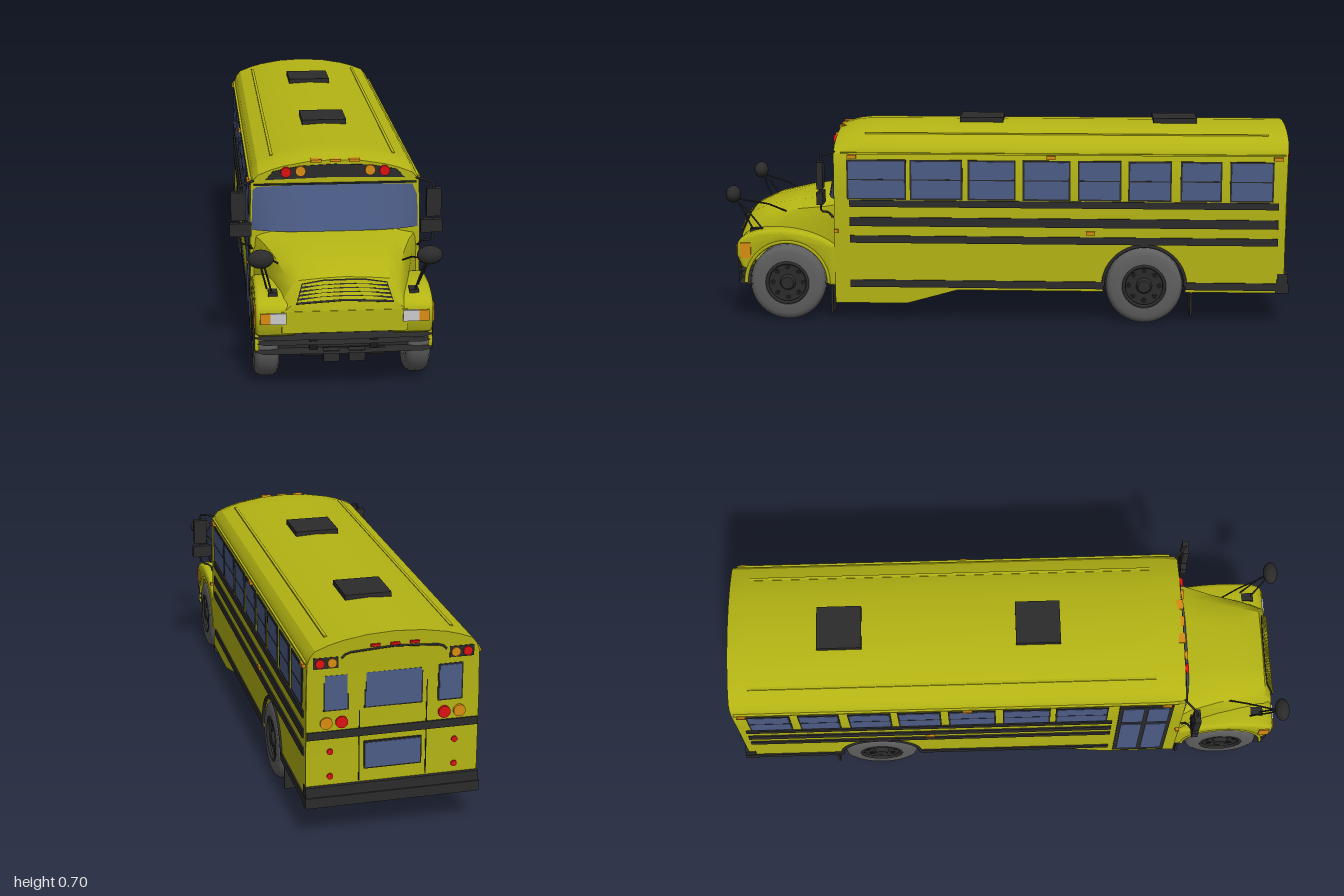
import * as THREE from 'three';
import { toCreasedNormals } from 'three/addons/utils/BufferGeometryUtils.js';
import { ParametricGeometry } from 'three/addons/geometries/ParametricGeometry.js';

const mat = (color, side = THREE.FrontSide) => new THREE.MeshStandardMaterial({ color, side });
const yellow = mat(0xb4b414), black = mat(0x2b2b2b), under = mat(0x191919), rubber = mat(0x5e5e5e);
const glass = mat(0x4c5c86, THREE.DoubleSide), red = mat(0xdd1111), orange = mat(0xd98c12), white = mat(0xcccccc);
const body2 = mat(0xb4b414, THREE.DoubleSide);

function add(parent, name, geo, m, x = 0, y = 0, z = 0) {
  const mesh = new THREE.Mesh(geo, m);
  mesh.name = name;
  mesh.position.set(x, y, z);
  parent.add(mesh);
  return mesh;
}
// Box given by its limits on each axis
const box = (p, name, m, x0, x1, y0, y1, z0, z1) =>
  add(p, name, new THREE.BoxGeometry(Math.abs(x1 - x0), y1 - y0, z1 - z0), m, (x0 + x1) / 2, (y0 + y1) / 2, (z0 + z1) / 2);
// Round lamp facing along z
const lamp = (p, name, m, r, x, y, z) =>
  add(p, name, new THREE.CylinderGeometry(r, r, 0.014, 20).rotateX(Math.PI / 2), m, x, y, z);
const poly = pts => new THREE.Shape(pts.map(([x, y]) => new THREE.Vector2(x, y)));
// Side outline (z, y) extruded across x0..x1
function sideExtrude(shape, x0, x1, bevel = 0) {
  const g = new THREE.ExtrudeGeometry(shape, { depth: x1 - x0 - 2 * bevel, curveSegments: 28,
    bevelEnabled: bevel > 0, bevelSize: bevel, bevelThickness: bevel, bevelOffset: -bevel, bevelSegments: 3 });
  return toCreasedNormals(g.rotateY(-Math.PI / 2).translate(x1 - bevel, 0, 0), 0.6);
}
const mirrorPts = half => [...half, ...half.slice(0, -1).reverse().map(([x, y]) => [-x, y])];
const tube = (p, name, pts, r = 0.004) => add(p, name, new THREE.TubeGeometry(
  new THREE.CatmullRomCurve3(pts.map(q => new THREE.Vector3(...q)), false, 'catmullrom', 0.1), 20, r, 6), black);

// Skin across a row of cross-sections [z, points], closed at the last one
function loft(sections) {
  const pos = [], idx = [], n = sections[0][1].length;
  sections.forEach(([z, pts]) => pts.forEach(([x, y]) => pos.push(x, y, z)));
  for (let s = 0; s < sections.length - 1; s++)
    for (let i = 0; i < n - 1; i++) {
      const a = s * n + i, b = a + n;
      idx.push(a, a + 1, b, a + 1, b + 1, b);
    }
  const last = (sections.length - 1) * n;
  for (let i = 1; i < n - 1; i++) idx.push(last, last + i, last + i + 1);
  const g = new THREE.BufferGeometry();
  g.setAttribute('position', new THREE.Float32BufferAttribute(pos, 3));
  g.setIndex(idx);
  return toCreasedNormals(g, 0.6);
}

function wheel(parent, name, x0, x1, z, s) {
  const g = new THREE.Group();
  g.name = name;
  g.position.set(s * (x0 + x1) / 2, 0.135, z);
  g.rotation.z = -s * Math.PI / 2;
  const w = (x1 - x0) / 2;
  const prof = [[0.078, -w], [0.112, -w], [0.126, -w * 0.85], [0.135, -w * 0.5], [0.135, w * 0.5], [0.126, w * 0.85],
    [0.112, w], [0.078, w], [0.074, w * 0.6], [0.074, -w * 0.6], [0.078, -w]].map(p => new THREE.Vector2(...p));
  add(g, 'tire', toCreasedNormals(new THREE.LatheGeometry(prof, 40), 0.6), rubber);
  add(g, 'rim', new THREE.CylinderGeometry(0.076, 0.076, w, 32), black, 0, w * 0.15);
  add(g, 'rimLip', new THREE.TorusGeometry(0.072, 0.006, 8, 32).rotateX(Math.PI / 2), black, 0, w * 0.9);
  add(g, 'hub', new THREE.CylinderGeometry(0.022, 0.03, w * 0.5, 16), black, 0, w * 0.8);
  for (let i = 0; i < 8; i++) {
    const a = i * Math.PI / 4;
    add(g, 'rimHole', new THREE.CylinderGeometry(0.009, 0.009, 0.004, 10), under, 0.054 * Math.cos(a), w * 0.66, 0.054 * Math.sin(a));
  }
  parent.add(g);
}

export function createModel() {
  const bus = new THREE.Group();
  bus.name = 'bus';

  // Upper body with rounded roof, the roof dipping at the front
  const half = [[0.283, 0.29], [0.283, 0.45], [0.279, 0.6], [0.27, 0.625], [0.254, 0.645], [0.21, 0.662], [0.167, 0.674], [0.09, 0.687], [0, 0.692]];
  const shell = new THREE.ExtrudeGeometry(poly(mirrorPts(half)), { depth: 1.585, steps: 32, bevelEnabled: false }).translate(0, 0, -0.98);
  const sp = shell.attributes.position;
  for (let i = 0; i < sp.count; i++) {
    const y = sp.getY(i), z = sp.getZ(i), t = Math.max(0, (z - 0.5) / 0.1);
    if (y > 0.61) sp.setY(i, y - 0.018 * t * t);
    if (z < -0.97) sp.setZ(i, z - Math.max(0, y - 0.55) * 0.07);
  }
  add(bus, 'upperBody', toCreasedNormals(shell, 0.5), yellow);

  // Lower side panels with rear wheel arches, end panels and floor
  const skirt = new THREE.Shape();
  skirt.moveTo(-0.98, 0.115).lineTo(-0.635, 0.115).lineTo(-0.635, 0.135);
  skirt.absarc(-0.49, 0.135, 0.145, Math.PI, 0, true);
  skirt.lineTo(-0.345, 0.115).lineTo(0.17, 0.115).lineTo(0.35, 0.065).lineTo(0.605, 0.065).lineTo(0.605, 0.295).lineTo(-0.98, 0.295);
  add(bus, 'lowerPanelLeft', sideExtrude(skirt, 0.265, 0.283), yellow);
  add(bus, 'lowerPanelRight', sideExtrude(skirt, -0.283, -0.265), yellow);
  box(bus, 'rearPanel', yellow, -0.283, 0.283, 0.115, 0.295, -0.98, -0.96);
  box(bus, 'firewall', black, -0.265, 0.265, 0.067, 0.295, 0.58, 0.6);
  add(bus, 'floor', sideExtrude(poly([[-0.96, 0.117], [0.17, 0.117], [0.35, 0.067], [0.59, 0.067], [0.59, 0.085], [0.36, 0.085], [0.18, 0.135], [-0.96, 0.135]]), -0.265, 0.265), under);

  // Windshield
  add(bus, 'windshield', new ParametricGeometry((u, v, t) => {
    const s = 2 * u - 1;
    t.set(0.279 * s, 0.438 + v * (0.152 - 0.006 * s * s), 0.604 + (0.004 + 0.034 * (1 - v)) * (1 - s ** 4));
  }, 24, 4), glass);
  box(bus, 'windshieldTrim', black, -0.27, 0.27, 0.59, 0.595, 0.6, 0.613);

  // Hood
  const sec = (z, b, y1, x2, y2, x3, y3, top) => [z, mirrorPts([[b, 0.2], [b, y1], [x2, y2], [x3, y3], [x3 * 0.5, (y3 + 2 * top) / 3], [0, top]])];
  add(bus, 'hood', loft([
    sec(0.585, 0.28, 0.37, 0.274, 0.42, 0.2, 0.437, 0.441),
    sec(0.645, 0.255, 0.36, 0.242, 0.405, 0.185, 0.43, 0.438),
    sec(0.75, 0.23, 0.33, 0.21, 0.39, 0.165, 0.418, 0.428),
    sec(0.86, 0.21, 0.32, 0.187, 0.37, 0.15, 0.395, 0.405),
    sec(0.925, 0.2, 0.29, 0.172, 0.34, 0.145, 0.365, 0.374),
    sec(0.955, 0.195, 0.27, 0.17, 0.292, 0.145, 0.299, 0.302)]), body2);

  // Grille: dark panel with chevron slats
  const grille = new THREE.Group();
  grille.name = 'grille';
  grille.position.set(0, 0.296, 0.959);
  grille.rotation.x = -0.4;
  const chevron = (w0, w1, y0, y1, rise) => new THREE.ExtrudeGeometry(poly([[-w0, y0], [0, y0 + rise * 0.7], [w0, y0], [w1, y1], [w1 * 0.5, y1 + rise * 0.9], [0, y1 + rise], [-w1 * 0.5, y1 + rise * 0.9], [-w1, y1]]), { depth: 0.004, bevelEnabled: false });
  add(grille, 'grillePanel', chevron(0.155, 0.135, 0, 0.066, 0.012), black);
  for (let i = 0; i < 5; i++) {
    const y = 0.007 + i * 0.0125, w = 0.151 - i * 0.004;
    add(grille, 'grilleSlat', chevron(w, w - 0.001, y, y + 0.005, 0.011), yellow, 0, 0, 0.003);
  }
  bus.add(grille);

  // Bumpers: front in three stepped bands, rear wrapping the corners
  [[0.13, 0.162, 0.962], [0.158, 0.182, 0.955], [0.178, 0.21, 0.964]].forEach(([y0, y1, z]) => {
    const plan = poly([[-0.284, -0.9], [-0.284, -z + 0.028], [-0.255, -z + 0.006], [0, -z], [0.255, -z + 0.006], [0.284, -z + 0.028], [0.284, -0.9]]);
    add(bus, 'frontBumper', new THREE.ExtrudeGeometry(plan, { depth: y1 - y0, bevelEnabled: false }).rotateX(-Math.PI / 2).scale(1, 1, -1).scale(-1, 1, -1).rotateY(Math.PI).scale(-1, 1, -1), black, 0, y0);
  });
  box(bus, 'rearBumper', black, -0.288, 0.288, 0.115, 0.15, -0.997, -0.95);
  box(bus, 'rearBumperTop', black, -0.286, 0.286, 0.15, 0.185, -0.993, -0.955);

  // Front end: valance between headlights, sign panel and roof lamps
  box(bus, 'nose', yellow, -0.2, 0.2, 0.2, 0.272, 0.9, 0.957);
  add(bus, 'signPanel', new THREE.ExtrudeGeometry(poly(mirrorPts([[0.23, 0.608], [0.205, 0.637], [0.12, 0.653], [0, 0.658], [0, 0.614]]).filter(p => p[1] !== 0.614).concat([[0, 0.614]])), { depth: 0.006, bevelEnabled: false }), black, 0, 0, 0.602);
  for (const x of [-0.063, 0, 0.063]) {
    box(bus, 'frontClearanceLamp', orange, x - 0.018, x + 0.018, 0.665, 0.674, 0.585, 0.61);
    box(bus, 'rearClearanceLamp', red, x - 0.015, x + 0.015, 0.647, 0.655, -0.996, -0.98);
  }

  // Roof hatches
  for (const z of [0.095, -0.6]) {
    box(bus, 'roofHatch', black, -0.078, 0.078, 0.685, 0.705, z - 0.078, z + 0.078);
    box(bus, 'hatchBase', black, -0.066, 0.066, 0.68, 0.696, z - 0.066, z + 0.066);
  }

  // Back door windows, band and header
  const rearPane = (x0, x1, y0, y1) => {
    box(bus, 'rearWindowFrame', black, x0 - 0.005, x1 + 0.005, y0 - 0.005, y1 + 0.005, -0.985, -0.975);
    box(bus, 'rearWindow', glass, x0, x1, y0, y1, -0.987, -0.976);
  };
  rearPane(-0.09, 0.09, 0.445, 0.56);
  rearPane(-0.09, 0.09, 0.235, 0.32);
  box(bus, 'rearBand', black, -0.28, 0.28, 0.345, 0.372, -0.985, -0.975);
  tube(bus, 'rearHeader', [[-0.17, 0.615, -0.985], [-0.15, 0.632, -0.986], [0, 0.642, -0.987], [0.15, 0.632, -0.986], [0.17, 0.615, -0.985]]);
  for (const s of [-0.11, 0.11]) box(bus, 'rearDoorSeam', under, s - 0.0015, s + 0.0015, 0.19, 0.59, -0.983, -0.975);

  // Side windows: z ranges from front to back
  const panes = [[0.355, 0.553], [0.157, 0.33], [-0.03, 0.126], [-0.222, -0.067], [-0.4, -0.26], [-0.575, -0.436], [-0.75, -0.618], [-0.93, -0.79]];

  // Everything that repeats on both sides
  for (const s of [1, -1]) {
    const front = s > 0 ? 0.55 : 0.355;
    panes.forEach(([z0, z1], i) => {
      if (s < 0 && i === 0) return;
      box(bus, 'sideWindowFrame', black, s * 0.27, s * 0.2838, 0.439, 0.581, z0 - 0.006, z1 + 0.006);
      box(bus, 'sideWindow', glass, s * 0.27, s * 0.2848, 0.445, 0.575, z0, z1);
      box(bus, 'windowBar', black, s * 0.27, s * 0.2856, 0.508, 0.512, z0, z1);
    });
    for (const [y, h, z0, z1] of [[0.425, 0.024, -0.955, front], [0.36, 0.032, -0.955, front], [0.297, 0.026, -0.955, front], [0.137, 0.026, -0.345, front], [0.137, 0.026, -0.955, -0.635]])
      box(bus, 'rubRail', black, s * 0.275, s * 0.288, y - h / 2, y + h / 2, z0, z1);
    box(bus, 'gutter', yellow, s * 0.27, s * 0.285, 0.6, 0.606, -0.975, 0.58);
    box(bus, 'roofRail', yellow, s * 0.2, s * 0.21, 0.655, 0.667, -0.92, 0.5);
    for (const [y, z] of [[0.592, 0.54], [0.592, -0.16], [0.592, -0.95], [0.325, -0.3]])
      box(bus, 'sideMarker', orange, s * 0.27, s * 0.291, y - 0.006, y + 0.006, z - 0.016, z + 0.016);

    // Wheels, arch trim and mud flaps
    wheel(bus, 'frontWheel', 0.205, 0.285, 0.777, s);
    wheel(bus, 'rearOuterWheel', 0.207, 0.287, -0.49, s);
    wheel(bus, 'rearInnerWheel', 0.125, 0.203, -0.49, s);
    add(bus, 'rearArchTrim', new THREE.TorusGeometry(0.145, 0.006, 8, 32, Math.PI).rotateY(Math.PI / 2), black, s * 0.283, 0.135, -0.49);
    box(bus, 'frontMudFlap', black, s * 0.2, s * 0.28, 0.025, 0.14, 0.614, 0.622);
    box(bus, 'rearMudFlap', black, s * 0.12, s * 0.28, 0.025, 0.13, -0.66, -0.652);

    // Front fender with wheel arch
    const f = new THREE.Shape();
    f.moveTo(0.6, 0.125).lineTo(0.632, 0.125);
    f.absarc(0.777, 0.135, 0.145, Math.PI, 0.3, true);
    f.lineTo(0.94, 0.19).lineTo(0.956, 0.23).lineTo(0.955, 0.275);
    f.quadraticCurveTo(0.94, 0.315, 0.85, 0.325).quadraticCurveTo(0.7, 0.335, 0.6, 0.27);
    add(bus, 'frontFender', s > 0 ? sideExtrude(f, 0.15, 0.283, 0.014) : sideExtrude(f, -0.283, -0.15, 0.014), yellow);
    add(bus, 'archLip', new THREE.TorusGeometry(0.148, 0.007, 8, 32, Math.PI).rotateY(Math.PI / 2), yellow, s * 0.278, 0.135, 0.777);
    box(bus, 'headlight', white, s * 0.185, s * 0.236, 0.232, 0.268, 0.94, 0.962);
    box(bus, 'turnSignal', orange, s * 0.236, s * 0.268, 0.232, 0.268, 0.94, 0.96);
    box(bus, 'fenderMarker', orange, s * 0.265, s * 0.287, 0.225, 0.28, 0.905, 0.942);
    box(bus, 'cowlMarker', orange, s * 0.27, s * 0.294, 0.32, 0.332, 0.59, 0.605);
    box(bus, 'towPlate', black, s * 0.015, s * 0.067, 0.095, 0.132, 0.91, 0.94);

    // Warning lamps front and rear
    lamp(bus, 'redWarningLamp', red, 0.017, s * 0.163, 0.634, 0.61);
    lamp(bus, 'amberWarningLamp', orange, 0.017, s * 0.115, 0.637, 0.61);
    box(bus, 'rearLampPanel', black, s * 0.18, s * 0.26, 0.585, 0.622, -0.988, -0.975);
    lamp(bus, 'rearRedWarningLamp', red, 0.015, s * 0.239, 0.603, -0.985);
    lamp(bus, 'rearAmberWarningLamp', orange, 0.015, s * 0.2, 0.603, -0.985);
    lamp(bus, 'rearTurnLamp', orange, 0.02, s * 0.218, 0.4, -0.982);
    lamp(bus, 'brakeLamp', red, 0.02, s * 0.168, 0.4, -0.982);
    for (const y of [0.3, 0.215]) lamp(bus, 'reflector', red, 0.01, s * 0.205, y, -0.978);
    rearPane(s > 0 ? 0.15 : -0.222, s > 0 ? 0.222 : -0.15, 0.445, 0.56);

    // Side mirrors on a bent arm
    box(bus, 'flatMirror', black, s * 0.298, s * 0.347, 0.485, 0.58, 0.634, 0.656);
    box(bus, 'wideMirror', black, s * 0.28, s * 0.352, 0.43, 0.474, 0.634, 0.656);
    tube(bus, 'mirrorArm', [[s * 0.265, 0.605, 0.598], [s * 0.315, 0.602, 0.642], [s * 0.322, 0.59, 0.645], [s * 0.322, 0.41, 0.645], [s * 0.31, 0.4, 0.64], [s * 0.285, 0.395, 0.625], [s * 0.282, 0.375, 0.61], [s * 0.272, 0.372, 0.598]]);

    // Convex crossover mirror on a tripod
    add(bus, 'crossoverMirror', new THREE.SphereGeometry(1, 24, 14).scale(0.041, 0.03, 0.026), black, s * 0.265, 0.452, 0.965);
    const tip = [s * 0.262, 0.435, 0.955];
    tube(bus, 'tripodArm', [[s * 0.198, 0.375, 0.78], [s * 0.225, 0.41, 0.85], tip], 0.003);
    tube(bus, 'tripodArm', [[s * 0.225, 0.305, 0.9], [s * 0.25, 0.41, 0.945], tip], 0.003);
    tube(bus, 'tripodArm', [[s * 0.24, 0.31, 0.86], [s * 0.262, 0.41, 0.93], tip], 0.003);
    box(bus, 'tripodFoot', black, s * 0.21, s * 0.24, 0.295, 0.322, 0.86, 0.915);

    // Frame rail
    box(bus, 'frameRail', under, s * 0.085, s * 0.11, 0.115, 0.17, 0.55, 0.92);
  }

  // Entry door: two leaves with tall panes
  box(bus, 'entryDoor', black, -0.286, -0.27, 0.085, 0.585, 0.375, 0.565);
  for (const [z0, z1] of [[0.388, 0.463], [0.477, 0.552]])
    for (const [y0, y1] of [[0.11, 0.4], [0.425, 0.57]]) box(bus, 'doorPane', glass, -0.2885, -0.275, y0, y1, z0, z1);

  // Running gear
  for (const [name, z, w] of [['frontAxle', 0.777, 0.42], ['rearAxle', -0.49, 0.4]])
    add(bus, name, new THREE.CylinderGeometry(0.022, 0.022, w, 14).rotateZ(Math.PI / 2), black, 0, 0.125, z);
  add(bus, 'differential', new THREE.SphereGeometry(0.045, 18, 12), black, 0, 0.125, -0.49);
  for (const z of [0.64, 0.71, 0.85, 0.91]) box(bus, 'crossMember', under, -0.135, 0.135, 0.11, 0.13, z - 0.015, z + 0.015);
  box(bus, 'engineBlock', under, -0.08, 0.08, 0.13, 0.3, 0.6, 0.9);
  return bus;
}
